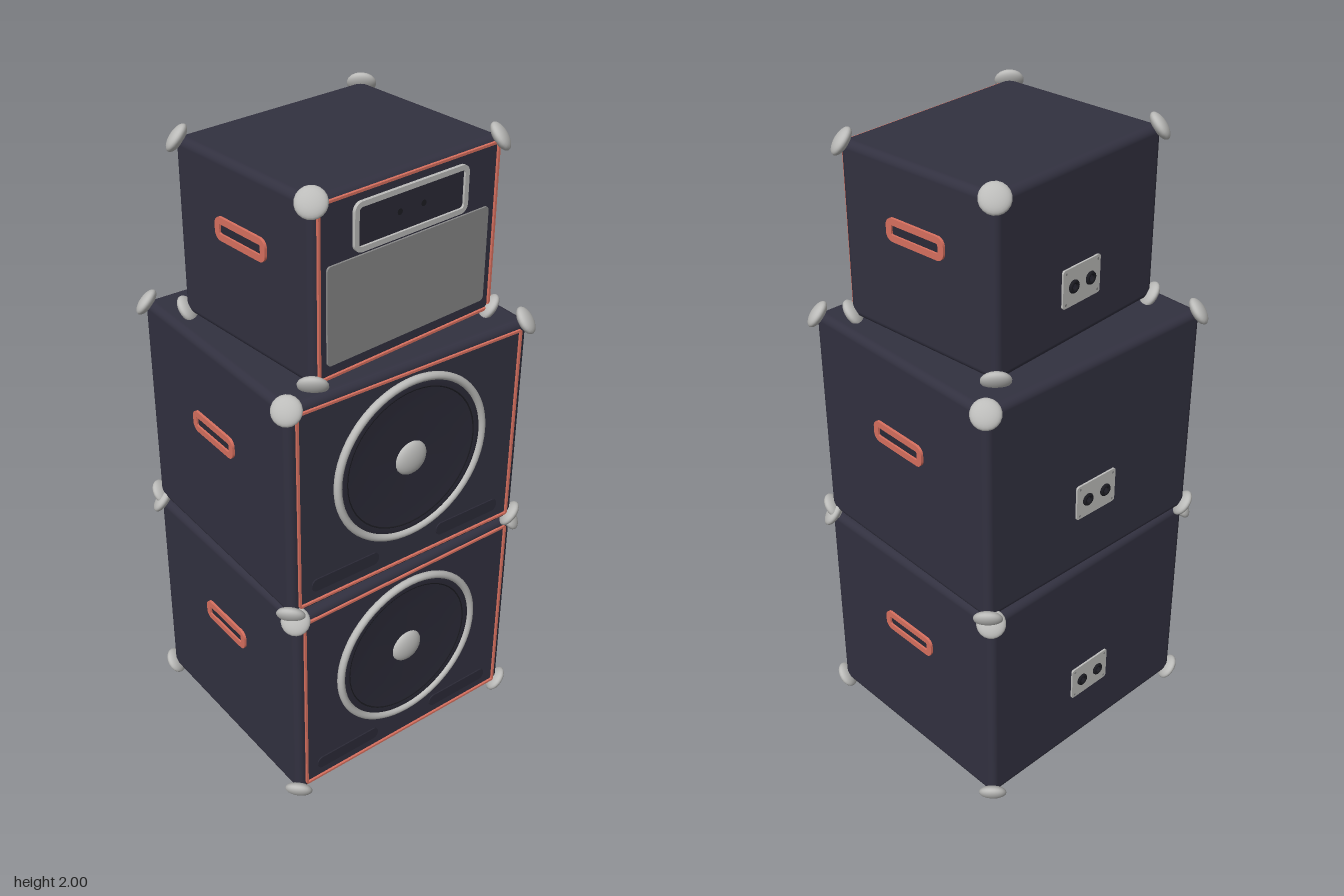
import * as THREE from 'three';
import { RoundedBoxGeometry } from 'three/addons/geometries/RoundedBoxGeometry.js';

const mat = (name, color) => Object.assign(new THREE.MeshStandardMaterial({ color }), { name });

export function createModel() {
  const vinyl = mat('dark vinyl', 0x323140);
  const cone = mat('speaker cone', 0x2b2a37);
  const black = mat('black rubber', 0x1c1c22);
  const coral = mat('coral trim', 0xd8705f);
  const silver = mat('silver metal', 0xbcbcba);
  const grey = mat('grey grille', 0x868686);

  const add = (parent, name, geo, material, x = 0, y = 0, z = 0) => {
    const m = new THREE.Mesh(geo, material);
    m.name = name;
    m.position.set(x, y, z);
    parent.add(m);
    return m;
  };

  // Rounded rectangle outline centred on the origin
  const roundRect = (w, h, r, T = THREE.Shape) => {
    const s = new T(), a = w / 2, b = h / 2, q = Math.PI / 2;
    s.absarc(a - r, b - r, r, 0, q);
    s.absarc(-a + r, b - r, r, q, 2 * q);
    s.absarc(-a + r, -b + r, r, 2 * q, 3 * q);
    s.absarc(a - r, -b + r, r, 3 * q, 4 * q);
    s.closePath();
    return s;
  };
  // Thin plate, or a frame when a border width is given
  const plate = (w, h, r, depth, border = 0) => {
    const s = roundRect(w, h, r);
    if (border) s.holes.push(roundRect(w - 2 * border, h - 2 * border, Math.max(r - border, 0.002), THREE.Path));
    return new THREE.ExtrudeGeometry(s, { depth, bevelEnabled: false, curveSegments: 6 });
  };

  // Shared shell: body, piping, corner caps, side handles and rear jack plate
  const cabinet = ({ name, w, h, d, pos, turn, pipe, handleY, jackY }) => {
    const g = new THREE.Group();
    g.name = name;
    g.position.set(...pos);
    g.rotation.y = turn;
    add(g, 'body', new RoundedBoxGeometry(w, h, d, 4, 0.022), vinyl, 0, h / 2, 0);
    add(g, 'piping', plate(w - 2 * pipe, h - 2 * pipe + 0.01, 0.008, 0.008, 0.007), coral, 0, h / 2, d / 2 - 0.001);

    // Domed caps flattened along each corner diagonal
    for (const sx of [-1, 1]) for (const sy of [-1, 1]) for (const sz of [-1, 1]) {
      const cap = add(g, 'cornerCap', new THREE.SphereGeometry(0.043, 20, 14), silver,
        sx * (w / 2 - 0.005), h / 2 + sy * (h / 2 - 0.006), sz * (d / 2 - 0.006));
      cap.scale.y = 0.45;
      cap.quaternion.setFromUnitVectors(new THREE.Vector3(0, 1, 0), new THREE.Vector3(sx, sy, sz).normalize());
    }

    for (const s of [-1, 1]) {
      const handle = new THREE.Group();
      handle.name = 'handle';
      handle.position.set(s * w / 2, handleY, 0);
      handle.rotation.y = s * Math.PI / 2;
      add(handle, 'handleFrame', plate(0.212, 0.068, 0.024, 0.009, 0.02), coral, 0, 0, -0.001);
      add(handle, 'handleSlot', plate(0.18, 0.035, 0.012, 0.002), cone);
      g.add(handle);
    }

    const rear = new THREE.Group();
    rear.name = 'jackPlate';
    rear.position.set(0, jackY, -d / 2);
    rear.rotation.y = Math.PI;
    add(rear, 'panel', plate(0.155, 0.115, 0.008, 0.006), silver);
    for (const s of [-1, 1]) {
      add(rear, 'jackRing', new THREE.TorusGeometry(0.014, 0.006, 8, 20), black, s * 0.035, 0, 0.008);
      add(rear, 'jackHole', new THREE.CircleGeometry(0.009, 16), cone, s * 0.035, 0, 0.0075);
      for (const t of [-1, 1])
        add(rear, 'screw', new THREE.CircleGeometry(0.004, 8), grey, s * 0.066, t * 0.046, 0.0068);
    }
    g.add(rear);
    return g;
  };

  // Large driver with chrome ring, shallow cone and dust cap
  const speaker = () => {
    const g = new THREE.Group();
    g.name = 'speaker';
    const profile = [[0.26, 0.001], [0.25, 0.006], [0.235, 0.01], [0.222, 0.006], [0.14, 0.004], [0.05, 0.002]]
      .map(([r, y]) => new THREE.Vector2(r, y)).reverse();
    const c = add(g, 'cone', new THREE.LatheGeometry(profile, 48), cone);
    c.rotation.x = Math.PI / 2;
    c.material = cone;
    cone.side = THREE.DoubleSide;
    add(g, 'surround', new THREE.TorusGeometry(0.226, 0.004, 8, 48), black, 0, 0, 0.004);
    add(g, 'ring', new THREE.TorusGeometry(0.257, 0.012, 12, 64), silver, 0, 0, 0.006);
    const cap = add(g, 'dustCap', new THREE.SphereGeometry(0.055, 24, 12), silver);
    cap.scale.z = 0.4;
    return g;
  };

  const model = new THREE.Group();
  model.name = 'speakerStack';

  // Two large speaker cabinets
  const big = { w: 0.832, h: 0.7, d: 0.74, pipe: 0.027, jackY: 0.245 };
  const lower = cabinet({ ...big, name: 'lowerCabinet', pos: [0, 0.032, 0.004], turn: 0, handleY: 0.432 });
  const upper = cabinet({ ...big, h: 0.695, name: 'upperCabinet', pos: [0, 0.74, 0.001], turn: -0.02, handleY: 0.426 });
  for (const g of [lower, upper]) {
    const s = speaker();
    s.position.set(0, 0.385, big.d / 2);
    g.add(s);
    for (const x of [-1, 1])
      add(g, 'portSlot', plate(0.235, 0.042, 0.018, 0.004), cone, x * 0.225, 0.079, big.d / 2);
    model.add(g);
  }
  for (const x of [-0.32, 0.32]) for (const z of [-0.28, 0.3])
    add(lower, 'foot', new THREE.CylinderGeometry(0.043, 0.04, 0.03, 24), black, x, -0.007, z);

  // Amplifier head, turned a little on top
  const head = cabinet({
    name: 'ampHead', w: 0.668, h: 0.525, d: 0.566, pos: [-0.001, 1.443, 0.024], turn: 0.07,
    pipe: 0.016, handleY: 0.327, jackY: 0.175,
  });
  const front = 0.283;
  add(head, 'grille', plate(0.576, 0.286, 0.012, 0.006), grey, 0, 0.192, front);
  add(head, 'displayFrame', plate(0.402, 0.138, 0.025, 0.01, 0.015), silver, 0, 0.414, front);
  add(head, 'displayPanel', plate(0.38, 0.116, 0.015, 0.003), cone, 0, 0.414, front);
  for (const x of [-0.042, 0.042])
    add(head, 'indicator', new THREE.CircleGeometry(0.009, 16), black, x, 0.414, front + 0.004);
  model.add(head);

  return model;
}
